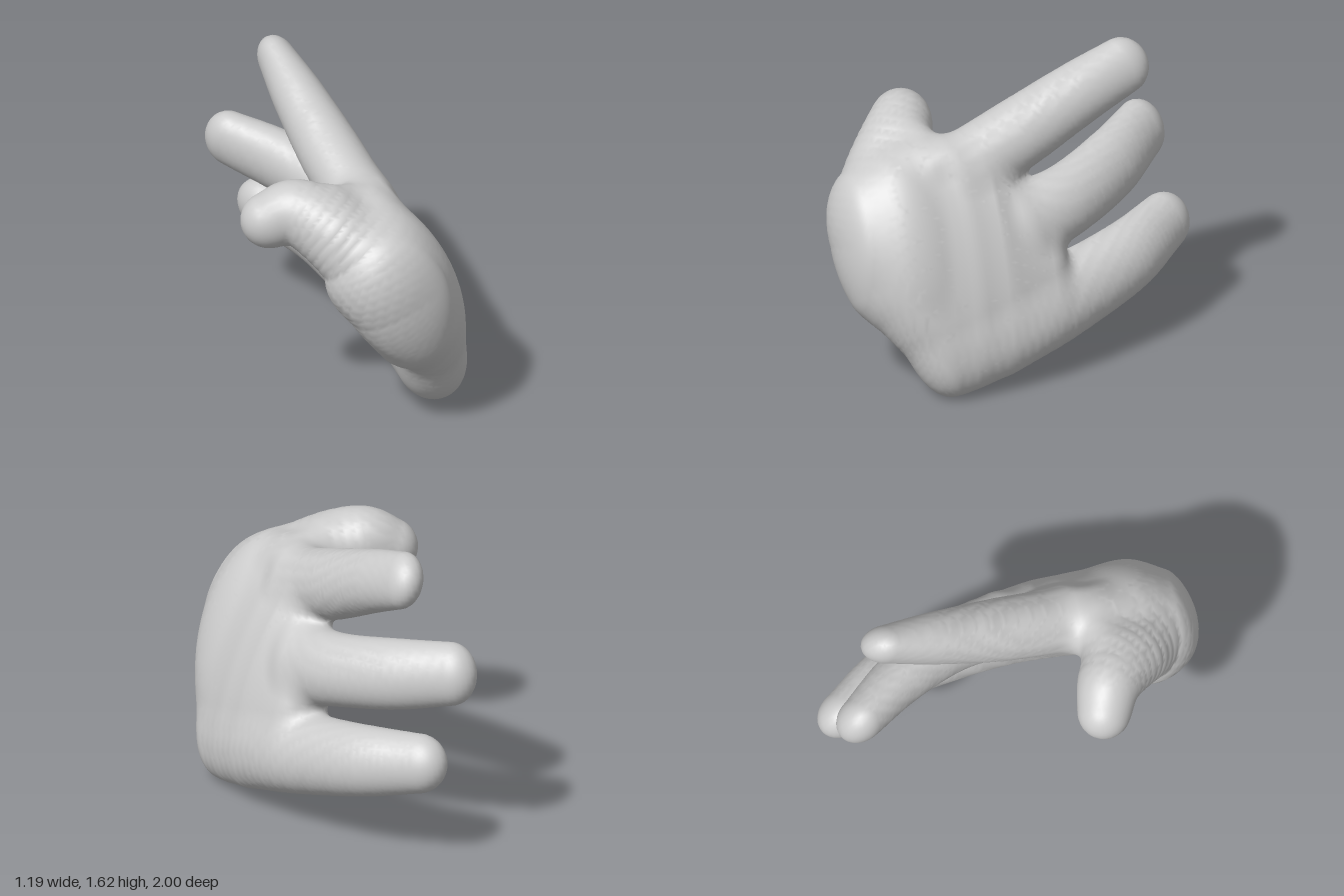
import * as THREE from 'three';

const material = new THREE.MeshStandardMaterial({ color: 0xcccccc });
const BEADS = 36, STEP = 0.028;
// direction across the hand, from little finger to index finger
const ACROSS = new THREE.Vector3(-0.34, 0.94, 0).normalize();

// A limb is a row of oval beads along a curve.
// stations: [x, y, z, half width across the hand, half thickness]
function limb(name, blend, cap, stations, axis) {
  const path = new THREE.CatmullRomCurve3(stations.map(s => new THREE.Vector3(s[0], s[1], s[2])));
  const size = new THREE.CatmullRomCurve3(stations.map(s => new THREE.Vector3(s[3], s[4], 0)));
  const beads = [];
  for (let i = 0; i <= BEADS; i++) {
    const t = i / BEADS, { x: a, y: b } = size.getPoint(t);
    const dir = axis ?? path.getTangent(t);
    const u = ACROSS.clone().addScaledVector(dir, -ACROSS.dot(dir)).normalize();
    beads.push({ c: path.getPoint(t), u, v: dir.clone().cross(u), w: dir, a, b });
  }
  return { name, blend, cap, beads };
}

// broad oval palm, from the finger webs to the rounded wrist
const palm = limb('palm', 0, 0.14, [
  [0.33, 0.60, -0.06, 0.36, 0.15],
  [0.29, 0.68, 0.20, 0.60, 0.20],
  [0.27, 0.68, 0.48, 0.65, 0.22],
  [0.22, 0.76, 0.69, 0.52, 0.25],
  [0.13, 0.81, 0.84, 0.37, 0.24],
], new THREE.Vector3(0, 0, 1));

// ball of the thumb rising from the wrist into the thumb
const thumb = limb('thumb', 0.1, 0.15, [
  [0.20, 0.57, 0.71, 0.19, 0.19],
  [0.05, 0.80, 0.73, 0.22, 0.22],
  [-0.05, 1.02, 0.67, 0.22, 0.22],
  [-0.32, 1.225, 0.45, 0.175, 0.165],
  [-0.45, 1.18, 0.395, 0.15, 0.14],
]);

// web of skin between thumb and index finger
const thumbWeb = limb('thumbWeb', 0.08, 0.08, [
  [0.10, 1.10, 0.42, 0.19, 0.15],
  [-0.15, 1.18, 0.50, 0.16, 0.12],
]);

// fingers start deep inside the palm
const indexFinger = limb('indexFinger', 0.07, 0.14, [
  [0.10, 1.12, 0.30, 0.19, 0.17],
  [0.07, 1.25, -0.03, 0.185, 0.165],
  [0.04, 1.41, -0.40, 0.165, 0.135],
  [0.025, 1.505, -0.64, 0.15, 0.10],
]);
const middleFinger = limb('middleFinger', 0.06, 0.14, [
  [0.25, 0.83, 0.00, 0.21, 0.165],
  [0.185, 0.885, -0.27, 0.19, 0.155],
  [0.03, 0.95, -0.57, 0.185, 0.14],
  [-0.165, 1.01, -0.82, 0.165, 0.115],
]);
const littleFinger = limb('littleFinger', 0.06, 0.16, [
  [0.39, 0.27, 0.52, 0.25, 0.18],
  [0.38, 0.37, 0.03, 0.23, 0.185],
  [0.31, 0.44, -0.30, 0.205, 0.17],
  [0.21, 0.51, -0.60, 0.185, 0.15],
  [0.045, 0.565, -0.86, 0.155, 0.12],
]);
const parts = [palm, thumb, thumbWeb, indexFinger, middleFinger, littleFinger];

// signed distance to one limb
function limbDistance({ beads, cap }, x, y, z) {
  let best = Infinity;
  for (const { c, u, v, w, a, b } of beads) {
    const dx = x - c.x, dy = y - c.y, dz = z - c.z;
    const p = (dx * u.x + dy * u.y + dz * u.z) / a;
    const q = (dx * v.x + dy * v.y + dz * v.z) / b;
    const r = (dx * w.x + dy * w.y + dz * w.z) / cap;
    const k0 = Math.sqrt(p * p + q * q + r * r);
    const k1 = Math.sqrt((p / a) ** 2 + (q / b) ** 2 + (r / cap) ** 2) + 1e-9;
    best = Math.min(best, k0 * (k0 - 1) / k1);
  }
  return best;
}

// all limbs merged with soft fillets
function handDistance(x, y, z) {
  let d = Infinity;
  for (const part of parts) {
    const e = limbDistance(part, x, y, z);
    const h = Math.max(part.blend - Math.abs(d - e), 0);
    d = Math.min(d, e) - (h > 0 ? h * h / (4 * part.blend) : 0);
  }
  return d;
}

function gradient({ x, y, z }) {
  const e = 0.006;
  return new THREE.Vector3(
    handDistance(x + e, y, z) - handDistance(x - e, y, z),
    handDistance(x, y + e, z) - handDistance(x, y - e, z),
    handDistance(x, y, z + e) - handDistance(x, y, z - e),
  ).divideScalar(2 * e);
}

export function createModel() {
  // sample the distance on a grid
  const low = [-0.7, -0.1, -1.1], high = [0.72, 1.76, 1.12];
  const n = low.map((l, i) => Math.ceil((high[i] - l) / STEP));
  const stride = [1, n[0], n[0] * n[1]];
  const values = new Float32Array(n[0] * n[1] * n[2]);
  const place = id => new THREE.Vector3(
    low[0] + STEP * (id % n[0]),
    low[1] + STEP * (Math.floor(id / n[0]) % n[1]),
    low[2] + STEP * Math.floor(id / stride[2]),
  );
  for (let id = 0; id < values.length; id++) {
    const p = place(id);
    values[id] = handDistance(p.x, p.y, p.z);
  }

  // one skin point per cell that the surface crosses
  const corners = [...Array(8).keys()];
  const offsets = corners.map(k => (k & 1) + (k >> 1 & 1) * stride[1] + (k >> 2) * stride[2]);
  const points = [], normals = [], cellPoint = new Map();
  for (let id = 0; id < values.length - offsets[7]; id++) {
    const inside = offsets.filter(o => values[id + o] < 0).length;
    if (inside === 0 || inside === 8) continue;
    const sum = new THREE.Vector3();
    let crossings = 0;
    for (const k of corners) for (const bit of [1, 2, 4]) {
      if (k & bit) continue;
      const i = id + offsets[k], j = id + offsets[k | bit];
      if (values[i] < 0 === values[j] < 0) continue;
      sum.add(place(i).lerp(place(j), values[i] / (values[i] - values[j])));
      crossings++;
    }
    const p = sum.divideScalar(crossings);
    const g = gradient(p).normalize();
    p.addScaledVector(g, -handDistance(p.x, p.y, p.z));
    cellPoint.set(id, points.length);
    points.push(p);
    normals.push(g);
  }

  // join the points into faces, shared out to the nearest limb
  const faces = parts.map(() => []);
  for (let id = stride[2] + stride[1] + 1; id < values.length - stride[2]; id++) {
    for (let axis = 0; axis < 3; axis++) {
      const inside = values[id] < 0;
      if (inside === values[id + stride[axis]] < 0) continue;
      const s = stride[(axis + 1) % 3], t = stride[(axis + 2) % 3];
      const [a, b, c, d] = [id, id - s, id - s - t, id - t].map(cell => cellPoint.get(cell));
      const { x, y, z } = points[a];
      const near = parts.map(part => limbDistance(part, x, y, z));
      const list = faces[near.indexOf(Math.min(...near))];
      if (inside) list.push(a, b, c, a, c, d);
      else list.push(a, c, b, a, d, c);
    }
  }

  const hand = new THREE.Group();
  hand.name = 'hand';
  parts.forEach((part, i) => {
    const geometry = new THREE.BufferGeometry();
    const corner = list => faces[i].flatMap(k => list[k].toArray());
    geometry.setAttribute('position', new THREE.Float32BufferAttribute(corner(points), 3));
    geometry.setAttribute('normal', new THREE.Float32BufferAttribute(corner(normals), 3));
    const mesh = new THREE.Mesh(geometry, material);
    mesh.name = part.name;
    hand.add(mesh);
  });
  return hand;
}
